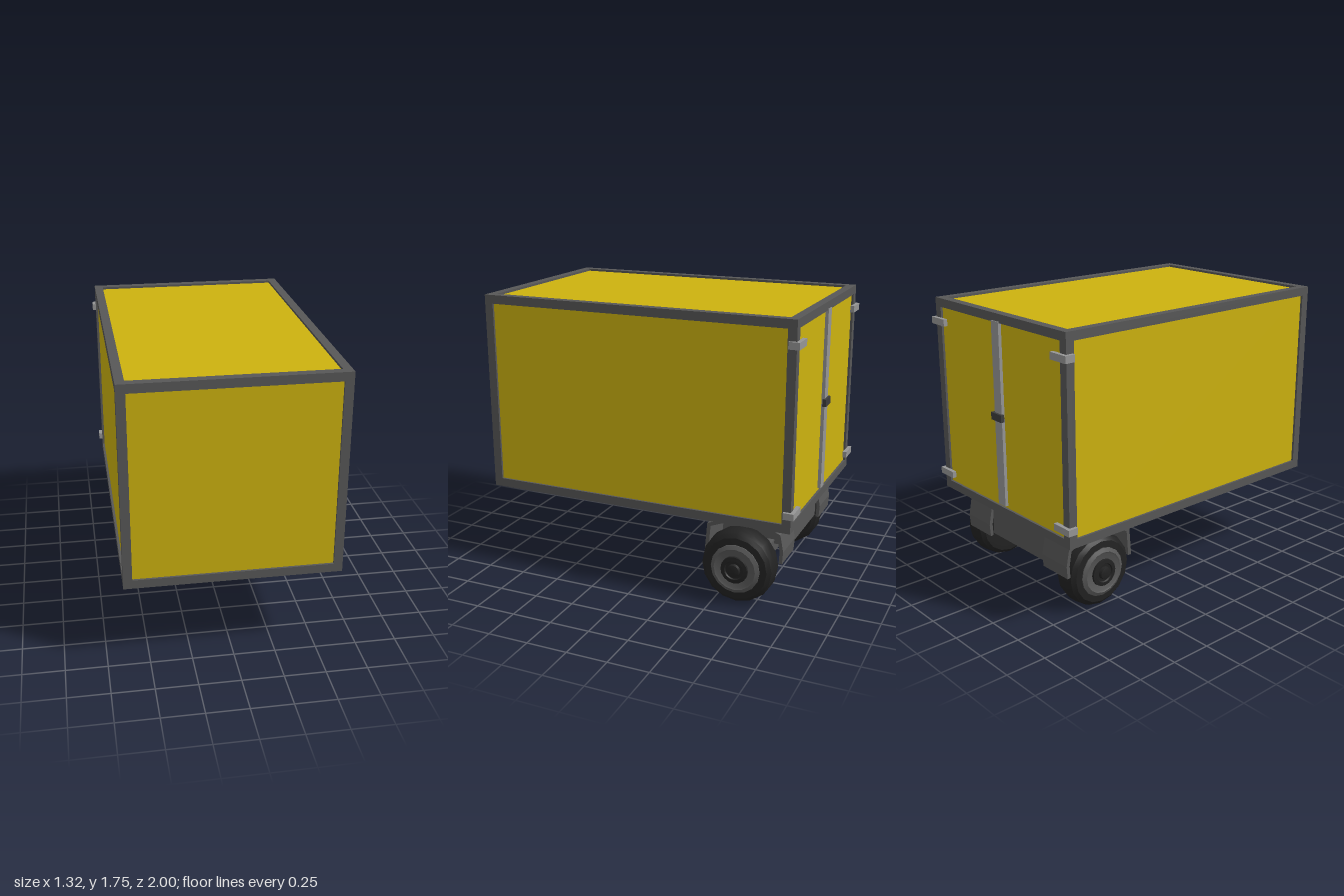
import * as THREE from 'three';
import { toCreasedNormals } from 'three/addons/utils/BufferGeometryUtils.js';

const material = (name, color) => {
  const m = new THREE.MeshStandardMaterial({ color });
  m.name = name;
  return m;
};

export function createModel() {
  const yellow = material('yellow panel', 0xccb20f);
  const grey = material('frame grey', 0x575757);
  const light = material('light steel', 0x959595);
  const rubber = material('black rubber', 0x222222);
  const dark = material('dark latch', 0x3c3c3c);

  const model = new THREE.Group();
  model.name = 'cargoTrailer';

  const add = (name, geometry, mat, parent = model) => {
    const mesh = new THREE.Mesh(geometry, mat);
    mesh.name = name;
    parent.add(mesh);
    return mesh;
  };
  // box given by its limits on each axis
  const box = (name, mat, [x0, x1], [y0, y1], [z0, z1], parent = model) => {
    const mesh = add(name, new THREE.BoxGeometry(x1 - x0, y1 - y0, z1 - z0), mat, parent);
    mesh.position.set((x0 + x1) / 2, (y0 + y1) / 2, (z0 + z1) / 2);
    return mesh;
  };

  // cargo box: one recessed yellow body inside twelve frame bars
  const X = [-0.643, 0.637], Y = [0.52, 1.755], Z = [-0.978, 1.0];
  const t = 0.053, recess = 0.014;
  const inset = ([a, b], d) => [a + d, b - d];
  box('cargoPanels', yellow, inset(X, recess), inset(Y, recess), inset(Z, recess));
  const ends = ([a, b]) => [[a, a + t], [b - t, b]];
  const frame = new THREE.Group();
  frame.name = 'cargoFrame';
  model.add(frame);
  for (const y of ends(Y)) {
    for (const z of ends(Z)) box('crossRail', grey, X, y, z, frame);
    for (const x of ends(X)) box('sideRail', grey, x, y, inset(Z, t), frame);
  }
  for (const x of ends(X))
    for (const z of ends(Z)) box('cornerPost', grey, x, inset(Y, t), z, frame);

  // rear doors: centre strip, latch and wrap-around hinges
  box('doorStrip', light, [-0.035, 0.035], [0.59, 1.71], [-0.984, -0.955]);
  box('doorLatch', dark, [-0.047, 0.053], [1.12, 1.165], [-0.998, -0.975]);
  for (const y of [[0.612, 0.652], [1.593, 1.635]]) {
    for (const s of [-1, 1]) {
      const hinge = new THREE.Group();
      hinge.name = s < 0 ? 'rightHinge' : 'leftHinge';
      hinge.position.x = -0.004;
      model.add(hinge);
      const span = (a, b) => (s < 0 ? [-b, -a] : [a, b]);
      box('hingeRearPlate', light, span(0.525, 0.66), y, [-1, -0.975], hinge);
      box('hingeSidePlate', light, span(0.638, 0.66), y, [-0.975, -0.935], hinge);
    }
  }

  // wheels: lathe profiles are [radius, distance outward]
  const turned = (profile, segments) => toCreasedNormals(
    new THREE.LatheGeometry(profile.map(p => new THREE.Vector2(...p)), segments), 0.55);
  const tyre = turned([[0, 0.01], [0.15, 0], [0.195, 0.004], [0.219, 0.025], [0.228, 0.06],
    [0.228, 0.118], [0.219, 0.15], [0.195, 0.171], [0.155, 0.175], [0.148, 0.16], [0, 0.16]], 16);
  const rim = turned([[0.153, 0.155], [0.153, 0.178], [0.13, 0.19], [0.12, 0.184], [0, 0.184]], 16);
  const hub = turned([[0.086, 0.18], [0.084, 0.197], [0.06, 0.2], [0.055, 0.192],
    [0.04, 0.192], [0.036, 0.21], [0.022, 0.214], [0, 0.214]], 16);
  for (const [side, s, x] of [['left', 1, 0.433], ['right', -1, -0.341]]) {
    const wheel = new THREE.Group();
    wheel.name = side + 'Wheel';
    wheel.position.set(x, 0.228, -0.64);
    wheel.rotation.z = -s * Math.PI / 2;
    model.add(wheel);
    add('tyre', tyre, rubber, wheel);
    add('rim', rim, grey, wheel);
    add('hub', hub, rubber, wheel);
  }

  // mudguards: bent strip in side profile, extruded across the wheel
  const outer = [[0.405, 0.265], [0.42, 0.445], [0.52, 0.485], [0.64, 0.5],
    [0.79, 0.485], [0.882, 0.445], [0.902, 0.34], [0.896, 0.262]];
  const inner = [[0.876, 0.264], [0.88, 0.34], [0.864, 0.43], [0.785, 0.462],
    [0.64, 0.477], [0.525, 0.463], [0.442, 0.43], [0.428, 0.265]];
  const guard = new THREE.ExtrudeGeometry(
    new THREE.Shape([...outer, ...inner].map(p => new THREE.Vector2(...p))),
    { depth: 0.232, bevelEnabled: false });
  for (const [name, x] of [['rightMudguard', -0.511], ['leftMudguard', 0.275]]) {
    const mesh = add(name, guard, grey);
    mesh.rotation.y = Math.PI / 2;
    mesh.position.x = x;
  }

  // running gear between the wheels
  box('rearPlate', grey, [-0.285, 0.28], [0.274, 0.455], [-0.868, -0.845]);
  box('chassisBlock', grey, [-0.21, 0.206], [0.246, 0.42], [-0.81, -0.36]);
  box('axleBeam', grey, [-0.345, 0.383], [0.186, 0.274], [-0.75, -0.53]);
  const shaft = add('axleShaft', new THREE.CylinderGeometry(0.04, 0.04, 0.8, 12), grey);
  shaft.rotation.z = Math.PI / 2;
  shaft.position.set(0.045, 0.23, -0.64);
  // brackets carrying the box on the chassis
  for (const x of [[-0.19, -0.13], [0.13, 0.19]])
    box('chassisBracket', grey, x, [0.41, 0.54], [-0.76, -0.52]);

  return model;
}
